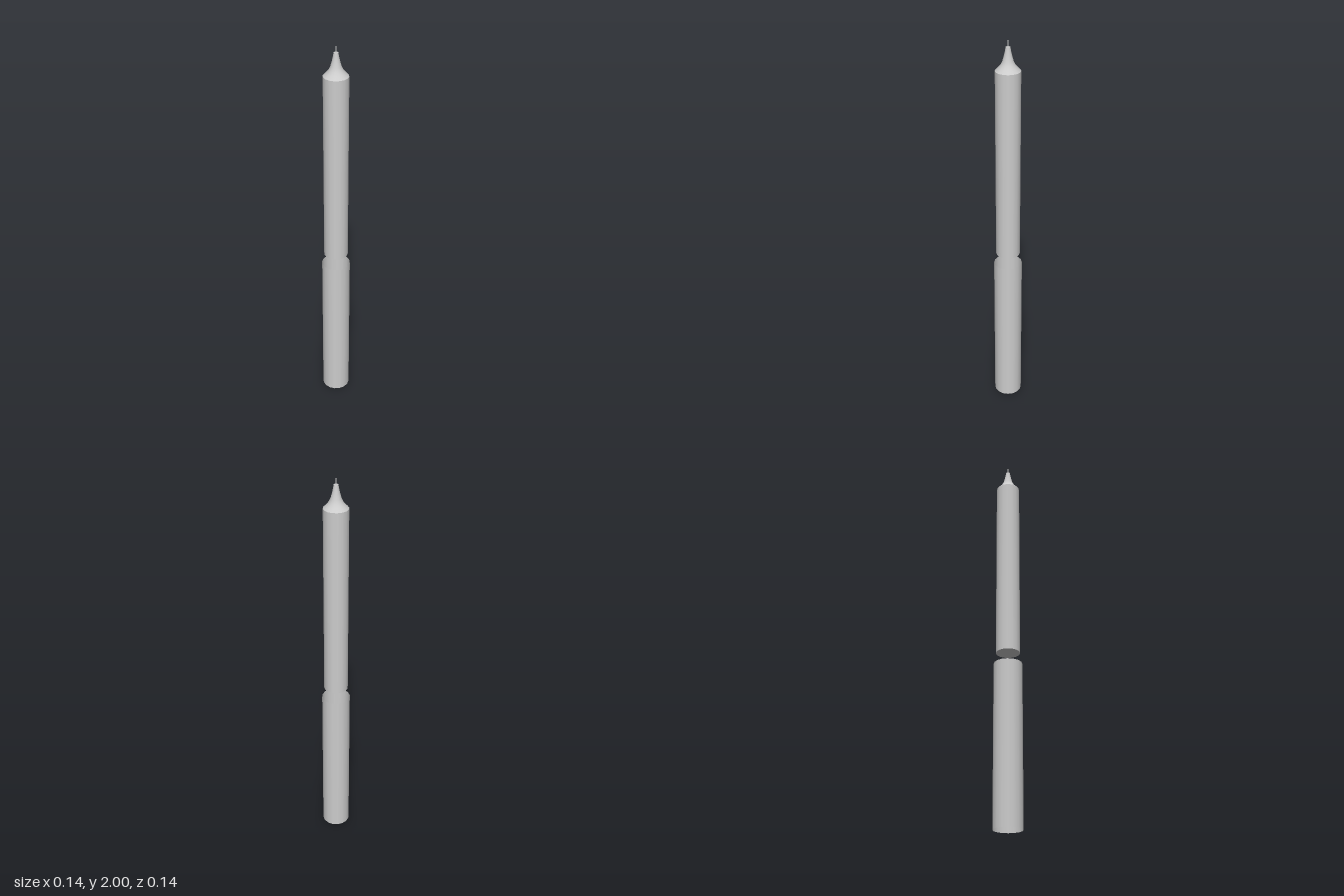
import * as THREE from 'three';

export function createModel() {
  const group = new THREE.Group();
  const grey = new THREE.MeshStandardMaterial({ color: 0xcccccc, side: THREE.DoubleSide });
  grey.name = 'light grey';
  const SIDES = 16;

  const add = (name, geometry, y = 0) => {
    const mesh = new THREE.Mesh(geometry, grey);
    mesh.name = name;
    mesh.position.y = y;
    group.add(mesh);
  };
  const lathe = (points) =>
    new THREE.LatheGeometry(points.map(([r, y]) => new THREE.Vector2(r, y)), SIDES);

  // Lower sleeve: thin tube, open at both ends
  add('sleeve', new THREE.CylinderGeometry(0.072, 0.072, 0.825, SIDES, 1, true), 0.4125);

  // Upper barrel with a closed bottom
  add('barrel', new THREE.CylinderGeometry(0.061, 0.061, 0.975, SIDES, 1, true), 1.3705);
  const base = new THREE.CircleGeometry(0.061, SIDES);
  base.rotateX(Math.PI / 2);
  add('barrelBase', base, 0.883);

  // Concave tapering shoulder
  add('taper', lathe([
    [0.061, 1.858], [0.046, 1.873], [0.034, 1.888], [0.026, 1.905],
    [0.019, 1.93], [0.014, 1.952], [0.011, 1.97],
  ]));
  const cap = new THREE.CircleGeometry(0.011, SIDES);
  cap.rotateX(-Math.PI / 2);
  add('taperCap', cap, 1.97);

  // Fine point at the top
  add('tip', new THREE.CylinderGeometry(0.003, 0.003, 0.03, 8), 1.985);

  return group;
}
